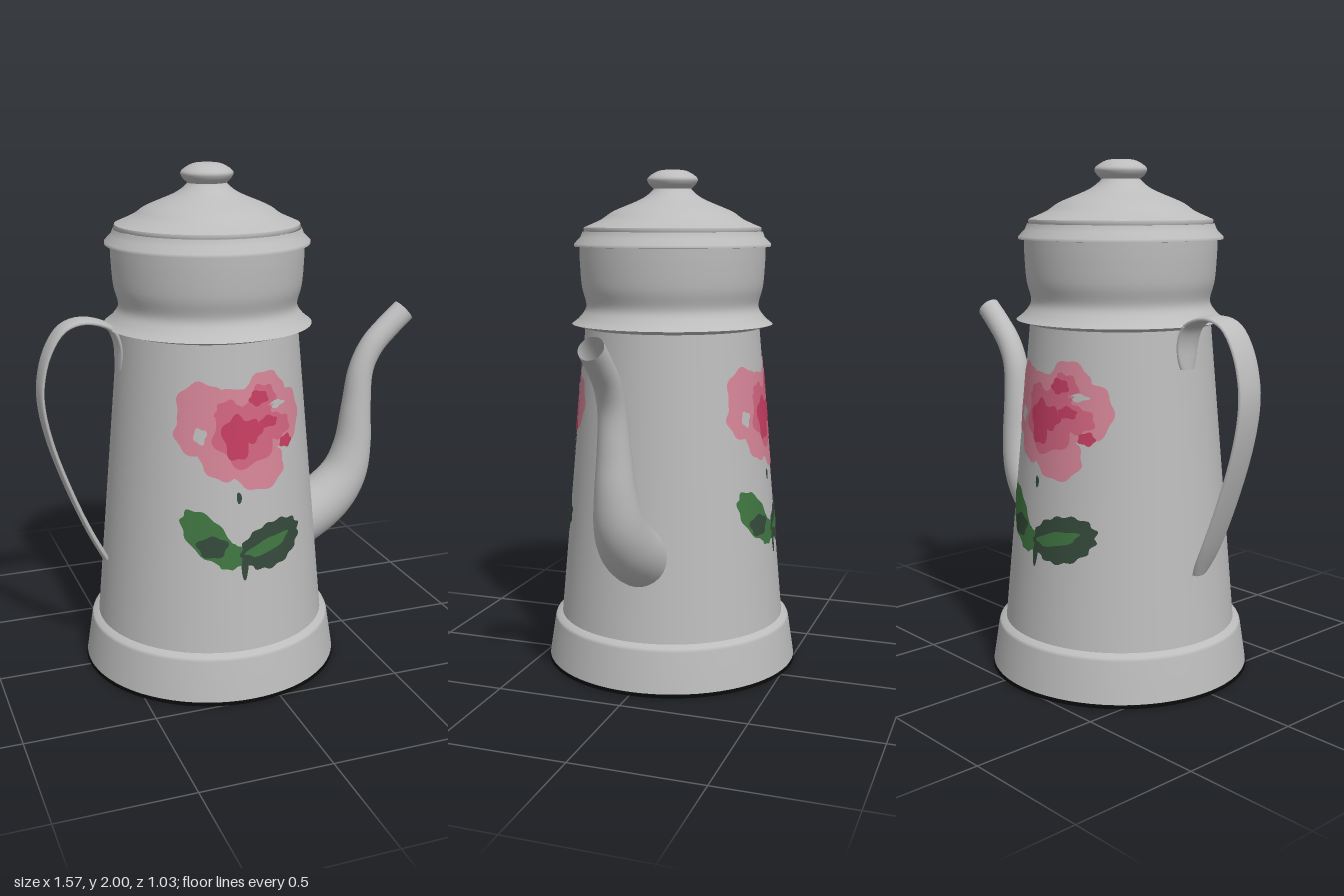
import * as THREE from 'three';

const mat = (name, color, side = THREE.FrontSide) => {
  const m = new THREE.MeshStandardMaterial({ color, side });
  m.name = name;
  return m;
};
const AXIS = -0.115; // x of the pot's axis
const bodyRadius = y => 0.459 - (y - 0.195) * 0.0903;

export function createModel() {
  const enamel = mat('grey enamel', 0xbcbcbc, THREE.DoubleSide);
  const black = mat('black base', 0x0a0a0a);
  const pink = mat('light pink', 0xd48496);
  const rose = mat('rose pink', 0xd0647f);
  const deep = mat('deep rose', 0xc43d60);
  const green = mat('leaf green', 0x3f7541);
  const darkGreen = mat('dark leaf green', 0x34493a);

  const root = new THREE.Group();
  root.name = 'coffeePot';
  const add = (name, geo, material, parent = root) => {
    const m = new THREE.Mesh(geo, material);
    m.name = name;
    parent.add(m);
    return m;
  };

  // Turned parts, split where the surface has a crease; curved profiles are splines
  const turn = (name, pts, material = enamel, steps = 0) => {
    let profile = pts.map(([r, y]) => new THREE.Vector2(r, y));
    if (steps) profile = new THREE.SplineCurve(profile).getPoints(steps);
    add(name, new THREE.LatheGeometry(profile, 72), material).position.x = AXIS;
  };
  turn('baseDisc', [[0, 0], [0.515, 0]], black);
  turn('baseRim', [[0.515, 0], [0.514, 0.014]], black);
  turn('baseSkirt', [[0.512, 0.014], [0.488, 0.172], [0.483, 0.184], [0.459, 0.195]]);
  turn('body', [[0.459, 0.195], [bodyRadius(1.38), 1.38]]);
  turn('collarUnderside', [[0.35, 1.375], [0.405, 1.392]]);
  turn('collar', [[0.405, 1.392], [0.372, 1.42], [0.347, 1.465], [0.364, 1.54], [0.371, 1.63], [0.373, 1.7]], enamel, 24);
  turn('lidUnderside', [[0.36, 1.697], [0.394, 1.699]]);
  turn('lidRim', [[0.394, 1.699], [0.394, 1.71], [0.369, 1.735], [0.36, 1.758]]);
  turn('lidBead', [[0.353, 1.758], [0.356, 1.766], [0.354, 1.774]]);
  turn('lidDome', [[0.354, 1.774], [0.285, 1.805], [0.235, 1.838], [0.125, 1.885], [0.078, 1.92], [0.075, 1.933]], enamel, 24);
  turn('lidKnob', [[0.075, 1.925], [0.095, 1.945], [0.098, 1.968], [0.055, 1.995], [0, 2]], enamel, 20);

  // Sweep an ellipse along a curve; sizeAt(t) gives half thickness and half width in z
  const sweep = (pts, sizeAt, steps, sides) => {
    const path = new THREE.CatmullRomCurve3(pts.map(([x, y]) => new THREE.Vector3(x, y, 0)));
    const pos = [], idx = [];
    for (let i = 0; i <= steps; i++) {
      const c = path.getPoint(i / steps), t = path.getTangent(i / steps);
      const [thick, wide] = sizeAt(i / steps);
      for (let j = 0; j < sides; j++) {
        const a = j / sides * Math.PI * 2, n = thick * Math.cos(a);
        pos.push(c.x - t.y * n, c.y + t.x * n, wide * Math.sin(a));
        if (i === steps) continue;
        const k = i * sides + j, l = i * sides + (j + 1) % sides;
        idx.push(k, l, k + sides, l, l + sides, k + sides);
      }
    }
    const g = new THREE.BufferGeometry();
    g.setAttribute('position', new THREE.Float32BufferAttribute(pos, 3));
    g.setIndex(idx);
    g.computeVertexNormals();
    return g;
  };
  // Spout: wide at the body, narrowing through the bend to an open tip
  const spoutPath = [[0.22, 0.49], [0.32, 0.54], [0.42, 0.61], [0.49, 0.7], [0.525, 0.82], [0.537, 0.98], [0.555, 1.14],
    [0.6, 1.235], [0.67, 1.31], [0.743, 1.375]];
  const spoutSize = t => {
    const s = 1 - THREE.MathUtils.smoothstep(t, 0.1, 0.72);
    return [0.05 + 0.066 * s, 0.047 + 0.073 * (0.8 * s + 0.2 * (1 - t))];
  };
  add('spout', sweep(spoutPath, spoutSize, 50, 28), enamel);

  // Handle: a flat strap with narrowed ends
  const strapPath = [[-0.478, 1.23], [-0.48, 1.33], [-0.51, 1.395], [-0.61, 1.428], [-0.69, 1.405], [-0.75, 1.32],
    [-0.782, 1.2], [-0.782, 1.1], [-0.752, 0.95], [-0.685, 0.75], [-0.615, 0.58], [-0.555, 0.46]];
  const strapSize = t => [0.012, 0.06 - 0.025 * Math.abs(2 * t - 1) ** 12];
  add('handle', sweep(strapPath, strapSize, 44, 12), enamel);

  // Painted marks [x, y, half length, half height, tilt]: lobed discs wrapped on the body cone
  const paint = (parent, name, material, lift, lobes, depth, marks) => {
    marks.forEach(([cx, cy, a, b, tilt = 0], m) => {
      const g = new THREE.RingGeometry(0.001, 1, 72, 7);
      const p = g.attributes.position;
      for (let i = 0; i < p.count; i++) {
        const angle = Math.atan2(p.getY(i), p.getX(i));
        const lobe = 1 + depth * Math.sin(lobes * angle + m * 2) + depth * 0.5 * Math.sin(3 * angle + m);
        const u = p.getX(i) * a * lobe, v = p.getY(i) * b * lobe;
        const x = cx + u * Math.cos(tilt) - v * Math.sin(tilt);
        const y = cy + u * Math.sin(tilt) + v * Math.cos(tilt);
        const r = bodyRadius(y) + lift;
        p.setXYZ(i, x, y, Math.sqrt(r * r - x * x));
      }
      g.computeVertexNormals();
      add(name, g, material, parent);
    });
  };
  // The same flower on the front and, turned half round, on the back
  ['frontFlower', 'backFlower'].forEach((name, side) => {
    const flower = new THREE.Group();
    flower.name = name;
    flower.position.x = AXIS;
    flower.rotation.y = side * Math.PI;
    root.add(flower);
    paint(flower, 'petal', pink, 0.003, 7, 0.05, [[0, 1.06, 0.18, 0.16], [-0.14, 1.13, 0.09, 0.11],
      [-0.15, 1.05, 0.09, 0.09], [0.1, 1.18, 0.09, 0.085], [0.18, 1.08, 0.085, 0.11], [0.07, 0.905, 0.11, 0.085],
      [-0.07, 0.96, 0.09, 0.09]]);
    paint(flower, 'petalGap', enamel, 0.0045, 4, 0.15, [[-0.155, 1.04, 0.022, 0.03], [0.15, 1.135, 0.035, 0.014]]);
    paint(flower, 'innerPetal', rose, 0.0045, 6, 0.1, [[0.02, 1.04, 0.13, 0.12], [0.09, 1.16, 0.055, 0.06],
      [0.15, 1.05, 0.06, 0.05], [-0.05, 1.13, 0.05, 0.04]]);
    paint(flower, 'heart', deep, 0.006, 5, 0.12, [[-0.02, 1.03, 0.055, 0.085], [0.035, 1.05, 0.045, 0.045],
      [0.07, 1.17, 0.04, 0.028], [0.11, 1.075, 0.04, 0.022], [0.19, 0.985, 0.03, 0.024]]);
    paint(flower, 'smallLeaf', green, 0.003, 9, 0.05, [[-0.14, 0.65, 0.125, 0.065, -0.9], [-0.06, 0.575, 0.06, 0.05]]);
    paint(flower, 'smallLeafShade', darkGreen, 0.0045, 5, 0.1, [[-0.125, 0.615, 0.055, 0.042]]);
    paint(flower, 'largeLeaf', darkGreen, 0.0035, 13, 0.05, [[0.115, 0.6, 0.135, 0.088, 0.25]]);
    paint(flower, 'leafVein', green, 0.005, 5, 0.08, [[0.095, 0.6, 0.095, 0.026, 0.25]]);
    paint(flower, 'stem', darkGreen, 0.004, 2, 0.1, [[-0.005, 0.53, 0.014, 0.05], [-0.02, 0.8, 0.009, 0.024]]);
  });
  return root;
}
